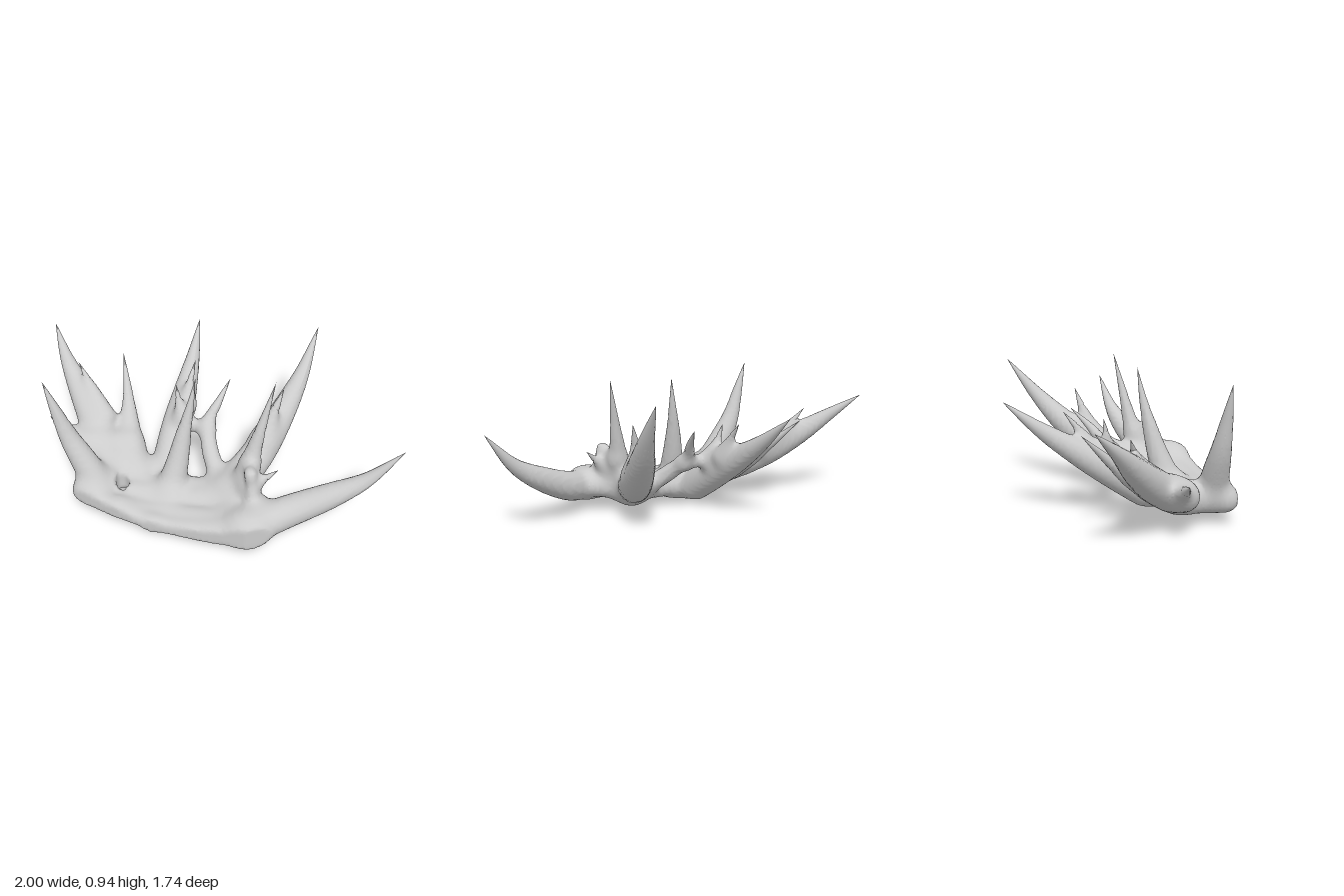
import * as THREE from 'three';

// A limb is a smooth path with a radius rule; it returns centre and radius at t
const limb = (path, radius) => {
  const curve = new THREE.CatmullRomCurve3(path.map((p) => new THREE.Vector3(...p)));
  return (t) => ({ p: curve.getPoint(t), r: radius(t) });
};
// Spikes taper to a point: fullness 1 is a straight cone, 2 a swelling horn
const spike = (r, fullness, ...path) => limb(path, (t) => r * (1 - t ** fullness));
// Webs taper evenly from one radius to another
const web = (r0, r1, ...path) => limb(path, (t) => r0 + (r1 - r0) * t);

const spikes = {
  frontLeftSpike: spike(0.105, 2, [0.08, 0.15, 0.77], [0.35, 0.2, 0.73], [0.6, 0.31, 0.76], [0.8, 0.44, 0.805], [0.995, 0.67, 0.857]),
  uprightSpike: spike(0.09, 1, [0.12, 0.2, 0.5], [0.19, 0.4, 0.45], [0.26, 0.65, 0.425], [0.34, 0.94, 0.4]),
  leftSpike: spike(0.115, 2, [0.06, 0.15, 0.42], [0.3, 0.27, 0.25], [0.5, 0.45, 0.09], [0.66, 0.65, -0.04], [0.805, 0.905, -0.19]),
  leftBranch: spike(0.07, 1, [0.34, 0.37, 0.22], [0.41, 0.53, 0.18], [0.48, 0.7, 0.155]),
  backLeftSpike: spike(0.11, 2, [-0.27, 0.13, 0.1], [-0.18, 0.27, -0.1], [-0.08, 0.41, -0.3], [0.02, 0.56, -0.5], [0.12, 0.75, -0.715]),
  backLeftBranch: spike(0.055, 1, [-0.08, 0.42, -0.18], [-0.05, 0.53, -0.25], [0.01, 0.66, -0.34]),
  archSpike: spike(0.057, 2, [0.02, 0.18, 0.3], [0, 0.29, 0.15], [0.02, 0.4, 0.02], [0.1, 0.51, -0.04], [0.2, 0.63, -0.12]),
  smallSpike: spike(0.05, 1, [-0.13, 0.4, -0.08], [-0.15, 0.5, -0.12], [-0.16, 0.61, -0.15]),
  centreSpike: spike(0.095, 1, [-0.3, 0.12, 0.32], [-0.235, 0.32, 0.27], [-0.185, 0.52, 0.235], [-0.14, 0.7, 0.215], [-0.1, 0.9, 0.2]),
  rightSpike: spike(0.095, 1.5, [-0.74, 0.17, 0.22], [-0.81, 0.33, 0.16], [-0.885, 0.5, 0.11], [-0.945, 0.7, 0.08], [-1, 0.9, 0.05]),
  backRightSpike: spike(0.11, 1.8, [-0.65, 0.19, 0], [-0.71, 0.31, -0.25], [-0.78, 0.46, -0.48], [-0.84, 0.59, -0.66], [-0.885, 0.745, -0.875]),
  backRightBranch: spike(0.065, 1, [-0.63, 0.36, -0.24], [-0.7, 0.5, -0.4], [-0.765, 0.64, -0.51]),
  backSpike: spike(0.1, 1, [-0.5, 0.18, 0.02], [-0.48, 0.3, -0.2], [-0.46, 0.43, -0.37], [-0.45, 0.62, -0.59]),
  sideSpike: spike(0.08, 1, [-0.77, 0.25, -0.1], [-0.89, 0.31, -0.21], [-1, 0.38, -0.29]),
  frontSmallSpike: spike(0.055, 1, [0.16, 0.3, 0.56], [0.23, 0.36, 0.59], [0.32, 0.44, 0.61]),
};

const webs = [
  // floor lobes
  web(0.08, 0.06, [-0.73, 0.17, 0.14], [-0.5, 0.12, 0.3], [-0.3, 0.11, 0.37]),
  web(0.07, 0.09, [-0.3, 0.11, 0.37], [0, 0.13, 0.52], [0.1, 0.155, 0.72]),
  web(0.09, 0.06, [-0.68, 0.17, 0.08], [-0.42, 0.14, 0.12], [-0.3, 0.08, 0.2], [-0.3, 0.1, 0.4]),
  web(0.05, 0.065, [-0.62, 0.13, 0.38], [-0.45, 0.1, 0.45], [0, 0.13, 0.66]),
  web(0.08, 0.075, [-0.8, 0.24, -0.1], [-0.5, 0.24, -0.06]),
  web(0.075, 0.06, [-0.48, 0.14, 0.15], [-0.38, 0.1, 0.34]),
  web(0.07, 0.08, [-0.3, 0.1, 0.25], [0.06, 0.14, 0.42]),
  web(0.08, 0.08, [0.1, 0.16, 0.46], [0.19, 0.18, 0.62]),
  // front rim, thinnest in the middle
  web(0.08, 0.04, [-0.83, 0.165, 0.24], [-0.72, 0.14, 0.36], [-0.45, 0.1, 0.56]),
  web(0.04, 0.095, [-0.45, 0.1, 0.56], [-0.15, 0.11, 0.7], [0.12, 0.155, 0.8]),
  // thin bridges
  web(0.036, 0.045, [0.01, 0.36, 0.04], [-0.07, 0.36, -0.02], [-0.13, 0.35, -0.08]),
  web(0.04, 0.02, [0.16, 0.24, 0.66], [0.15, 0.43, 0.6]),
  web(0.02, 0.045, [0.15, 0.43, 0.6], [0.19, 0.38, 0.46]),
];

// Distance field of one limb: a chain of tapered capsules
function limbField(at, tEnd) {
  const N = 12, s = Array.from({ length: N + 1 }, (_, i) => at((i / N) * tEnd));
  return (x, y, z) => {
    let best = 9;
    for (let i = 0; i < N; i++) {
      const a = s[i].p, b = s[i + 1].p;
      const bx = b.x - a.x, by = b.y - a.y, bz = b.z - a.z, px = x - a.x, py = y - a.y, pz = z - a.z;
      const h = Math.max(0, Math.min(1, (px * bx + py * by + pz * bz) / (bx * bx + by * by + bz * bz)));
      const dx = px - h * bx, dy = py - h * by, dz = pz - h * bz;
      best = Math.min(best, Math.sqrt(dx * dx + dy * dy + dz * dz) - s[i].r - h * (s[i + 1].r - s[i].r));
    }
    return best;
  };
}

// Smooth surface around a distance field, one vertex per crossed cell
function surfaceFromField(field, min, size, step) {
  const n = size.map((v) => Math.ceil(v / step) + 1);
  const stride = [1, n[0], n[0] * n[1]];
  const d = new Float32Array(n[0] * n[1] * n[2]).fill(1), cell = new Int32Array(d.length).fill(-1);
  const each = (lo, fn) => {
    for (let k = lo; k < n[2] - 1; k++) for (let j = lo; j < n[1] - 1; j++) for (let i = lo; i < n[0] - 1; i++)
      fn([i, j, k], i + j * stride[1] + k * stride[2]);
  };
  each(0, (c, id) => { d[id] = field(...c.map((v, a) => min[a] + v * step)); });
  const pos = [], index = [];
  each(0, (c, id) => {
    const sum = [0, 0, 0];
    let count = 0;
    for (let a = 0; a < 3; a++) {
      const u = (a + 1) % 3, v = (a + 2) % 3;
      for (let q = 0; q < 4; q++) {
        const e = id + (q & 1) * stride[u] + (q >> 1) * stride[v];
        const d0 = d[e], d1 = d[e + stride[a]];
        if ((d0 < 0) === (d1 < 0)) continue;
        sum[a] += d0 / (d0 - d1);
        sum[u] += q & 1;
        sum[v] += q >> 1;
        count++;
      }
    }
    if (!count) return;
    cell[id] = pos.length / 3;
    for (let a = 0; a < 3; a++) pos.push(min[a] + (c[a] + sum[a] / count) * step);
  });
  each(1, (c, id) => {
    for (let a = 0; a < 3; a++) {
      const inside = d[id] < 0;
      if (inside === d[id + stride[a]] < 0) continue;
      const su = stride[(a + 1) % 3], sv = stride[(a + 2) % 3];
      const q = [cell[id - su - sv], cell[id - sv], cell[id], cell[id - su]];
      if (!inside) q.reverse();
      index.push(q[0], q[1], q[2], q[0], q[2], q[3]);
    }
  });
  const g = new THREE.BufferGeometry();
  g.setAttribute('position', new THREE.Float32BufferAttribute(pos, 3));
  g.setIndex(index);
  g.computeVertexNormals();
  return g;
}

// Tapered tube for the sharp end of a spike
function tipGeometry(at, t0) {
  const g = new THREE.CylinderGeometry(1, 1, 1, 14, 14, true);
  const pos = g.attributes.position, v = new THREE.Vector3(), up = new THREE.Vector3(0, 1, 0);
  for (let i = 0; i < pos.count; i++) {
    v.fromBufferAttribute(pos, i);
    const t = t0 + (1 - t0) * (v.y + 0.5), { p, r } = at(t), t1 = Math.min(1, t + 0.01);
    const dir = at(t1).p.sub(at(t1 - 0.02).p).normalize();
    v.y = 0;
    v.multiplyScalar(r).applyQuaternion(new THREE.Quaternion().setFromUnitVectors(up, dir)).add(p);
    pos.setXYZ(i, v.x, v.y, v.z);
  }
  g.computeVertexNormals();
  return g;
}

export function createModel() {
  const group = new THREE.Group();
  const material = new THREE.MeshStandardMaterial({ color: 0xcccccc });
  const add = (name, geometry) => {
    const mesh = new THREE.Mesh(geometry, material);
    mesh.name = name;
    group.add(mesh);
  };

  // Webbed body: limbs melted together, cut flat along the front, with one hole
  const fields = [
    ...webs.map((w) => limbField(w, 1)),
    ...Object.values(spikes).map((s) => limbField(s, 0.74)),
  ];
  const k = 0.07;
  const body = (x, y, z) => {
    let d = 9;
    for (const f of fields) {
      const e = f(x, y, z), h = Math.max(k - Math.abs(d - e), 0);
      d = Math.min(d, e) - (h * h) / (4 * k);
    }
    const hole = 0.042 - Math.hypot(x + 0.59, (z - 0.245) * 0.75);
    return Math.max(d, hole, -0.605 * x + 0.796 * z - 0.76, -0.465 * x + 0.885 * z - 0.737, z - 0.865, -y);
  };
  add('webbedBody', surfaceFromField(body, [-1.05, -0.05, -0.82], [2, 0.95, 1.78], 0.02));

  // Sharp ends of the spikes
  for (const [name, s] of Object.entries(spikes)) add(name, tipGeometry(s, 0.66));
  return group;
}
